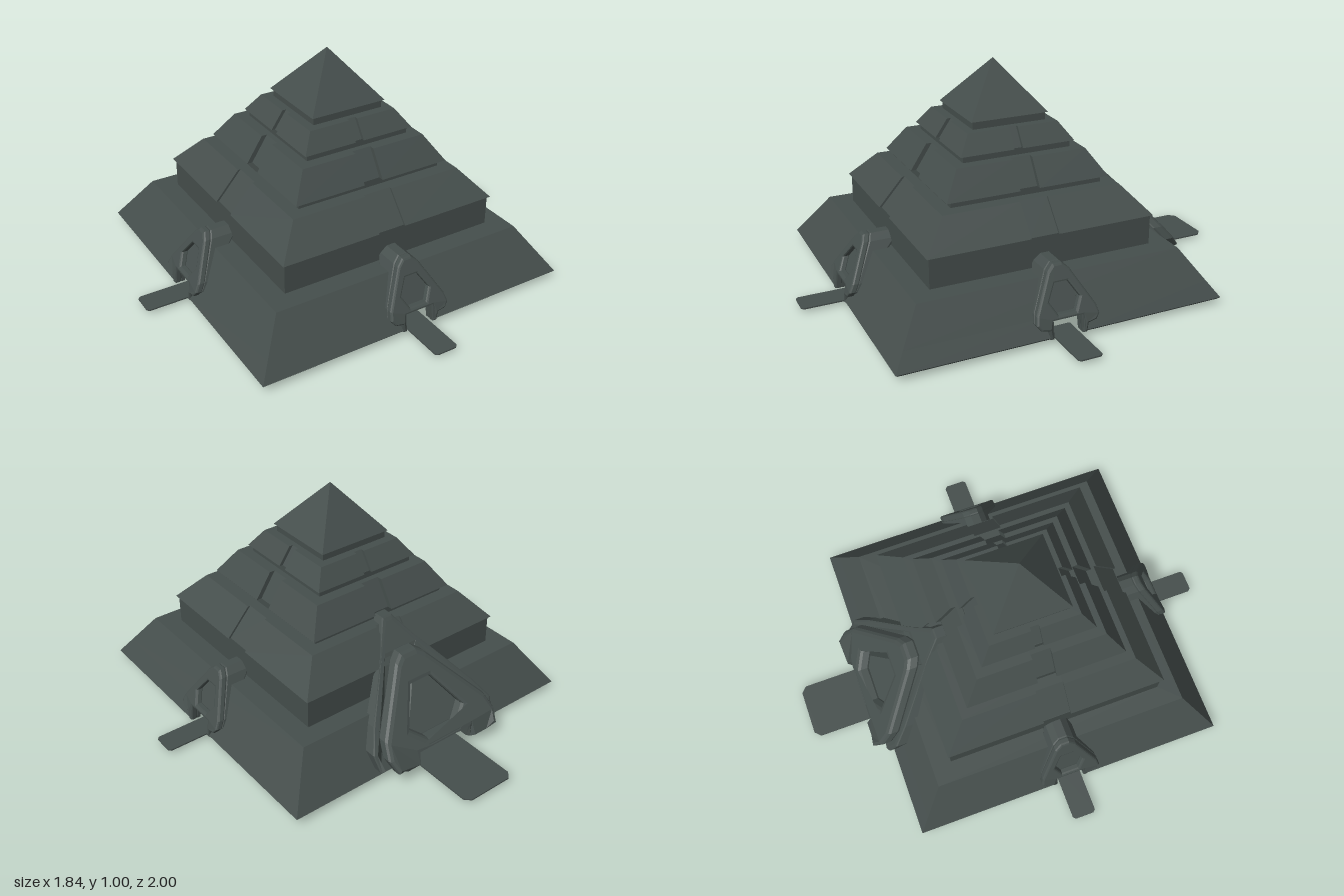
import * as THREE from 'three';

const stone = new THREE.MeshStandardMaterial({ color: 0x454e4c, side: THREE.DoubleSide });
stone.name = 'dark stone';

// Stepped profile: half width, height, groove half width, groove depth
const PROFILE = [
  [0.73, 0.02, 0, 0], [0.74, 0.03, 0, 0], [0.692, 0.1, 0, 0], [0.6, 0.235, 0, 0],
  [0.51, 0.235, 0, 0], [0.51, 0.37, 0, 0], [0.52, 0.37, 0.065, 0.012], [0.41, 0.495, 0.065, 0.012],
  [0.35, 0.495, 0, 0], [0.35, 0.525, 0, 0], [0.375, 0.525, 0.045, 0.025], [0.3, 0.64, 0.045, 0.025],
  [0.25, 0.64, 0, 0], [0.25, 0.67, 0, 0], [0.265, 0.67, 0.02, 0.018], [0.21, 0.75, 0.02, 0.018],
  [0.17, 0.75, 0, 0], [0.17, 0.785, 0, 0], [0.18, 0.785, 0, 0], [0, 1.005, 0, 0],
];
// Profile index ranges of the tiers
const TIERS = [['baseTier', 0, 4], ['secondTier', 4, 8], ['thirdTier', 8, 12], ['fourthTier', 12, 16], ['capstone', 16, 19]];

const mesh = (name, geometry) => {
  const m = new THREE.Mesh(geometry, stone);
  m.name = name;
  return m;
};

// One side of a tier, with its stair groove or doorway gap in the middle
function tierSide(from, to, doorHalf) {
  const p = [];
  const quad = (a, b, c, d) => p.push(...a, ...b, ...c, ...a, ...c, ...d);
  for (let i = from; i < to; i++) {
    const [r0, y0, w0, g0] = PROFILE[i], [r1, y1, w1, g1] = PROFILE[i + 1];
    const door = y0 < 0.1;
    const w = door ? doorHalf : Math.max(w0, w1);
    if (!w) {
      quad([-r0, y0, r0], [r0, y0, r0], [r1, y1, r1], [-r1, y1, r1]);
      continue;
    }
    quad([-r0, y0, r0], [-w, y0, r0], [-w, y1, r1], [-r1, y1, r1]);
    quad([w, y0, r0], [r0, y0, r0], [r1, y1, r1], [w, y1, r1]);
    if (door) continue;
    quad([-w, y0, r0 - g0], [w, y0, r0 - g0], [w, y1, r1 - g1], [-w, y1, r1 - g1]);
    if (g0 && g1) {
      quad([-w, y0, r0], [-w, y0, r0 - g0], [-w, y1, r1 - g1], [-w, y1, r1]);
      quad([w, y0, r0 - g0], [w, y0, r0], [w, y1, r1], [w, y1, r1 - g1]);
    }
  }
  const g = new THREE.BufferGeometry();
  g.setAttribute('position', new THREE.Float32BufferAttribute(p, 3));
  g.computeVertexNormals();
  return g;
}

// Distance of the pyramid surface from the axis at a given height
const wall = y => y < 0.235 ? 0.74 - 0.68 * (y - 0.03)
  : y < 0.37 ? 0.51 : y < 0.495 ? 0.52 - 0.88 * (y - 0.37) : 0.35;

// Mirrors a half outline into a closed one
const outline = half => [...half, ...half.map(([x, y]) => [-x, y]).reverse()].map(q => new THREE.Vector2(...q));

// Bevelled slab whose front and back follow depth rules over height
function slab(half, hole, front, back, bevelDepth, bevelSize) {
  const shape = new THREE.Shape(outline(half));
  if (hole) shape.holes.push(new THREE.Path(outline(hole)));
  const g = new THREE.ExtrudeGeometry(shape, {
    depth: 1, bevelThickness: bevelDepth, bevelSize, bevelOffset: -bevelSize, bevelSegments: 2,
  });
  const pos = g.attributes.position;
  for (let i = 0; i < pos.count; i++) {
    const y = pos.getY(i), t = (pos.getZ(i) + bevelDepth) / (1 + 2 * bevelDepth);
    pos.setZ(i, THREE.MathUtils.lerp(back(y), front(y), t));
  }
  g.computeVertexNormals();
  return g;
}

// Thin entrance ramp with clipped outer corners
function ramp(halfWidth, inner, outer) {
  const c = halfWidth * 0.2;
  const shape = new THREE.Shape(outline([[halfWidth, -inner], [halfWidth, -outer + c], [halfWidth - c, -outer]]));
  const g = new THREE.ExtrudeGeometry(shape, { depth: 0.006, bevelEnabled: false });
  return g.rotateX(-Math.PI / 2).translate(0, 0.014, 0);
}

// Entrance hood: gable body running into the wall, with a raised frame
function entrance(name, o) {
  const group = new THREE.Group();
  group.name = name;
  const inner = y => o.front(y) - o.inset;
  group.add(
    mesh('hoodBody', slab(o.body, null, inner, y => Math.min(wall(y), inner(y)) - 0.02, 0.08, o.bevel)),
    mesh('hoodFrame', slab(o.frame, o.window, o.front, y => inner(y) - 0.005, 0.5, o.bevel)),
    mesh('ramp', ramp(...o.ramp)),
  );
  return group;
}

const smallHood = [[0.065, 0.097], [0.065, 0.02], [0.085, 0.02], [0.09, 0.06], [0.125, 0.068],
  [0.143, 0.092], [0.135, 0.125], [0.05, 0.27], [0.02, 0.296]];
const SMALL = {
  body: smallHood, frame: smallHood,
  window: [[0.04, 0.115], [0.07, 0.165], [0.03, 0.228]],
  front: y => Math.min(0.742, 0.742 - (y - 0.08) * 0.53),
  inset: 0.03, bevel: 0.008, ramp: [0.055, 0.64, 0.922],
};
const LARGE = {
  body: [[0.14, 0.1], [0.14, 0.02], [0.2, 0], [0.28, 0], [0.325, 0.06], [0.335, 0.13], [0.28, 0.21],
    [0.1, 0.42], [0.025, 0.52]],
  frame: [[0.14, 0.1], [0.14, 0.04], [0.23, 0.04], [0.28, 0.07], [0.3, 0.12], [0.28, 0.18], [0.08, 0.39], [0.04, 0.415]],
  window: [[0.08, 0.13], [0.15, 0.18], [0.055, 0.31]],
  front: y => y < 0.07 ? 0.835 - (0.07 - y) * 1.2 : 0.835 - 0.84 * (y - 0.07),
  inset: 0.06, bevel: 0.018, ramp: [0.13, 0.5, 1.075],
};

export function createModel() {
  const model = new THREE.Group();
  model.name = 'steppedPyramid';
  const pyramid = new THREE.Group();
  pyramid.name = 'pyramid';
  pyramid.position.z = 0.075;
  model.add(pyramid);

  // Four sides: front, left, back, right
  ['front', 'left', 'back', 'right'].forEach((label, k) => {
    const side = new THREE.Group();
    side.name = label + 'Side';
    side.rotation.y = k * Math.PI / 2;
    const large = label === 'back';
    for (const [name, from, to] of TIERS) side.add(mesh(name, tierSide(from, to, large ? 0.14 : 0.065)));
    side.add(entrance(label + 'Entrance', large ? LARGE : SMALL));
    pyramid.add(side);
  });
  return model;
}
